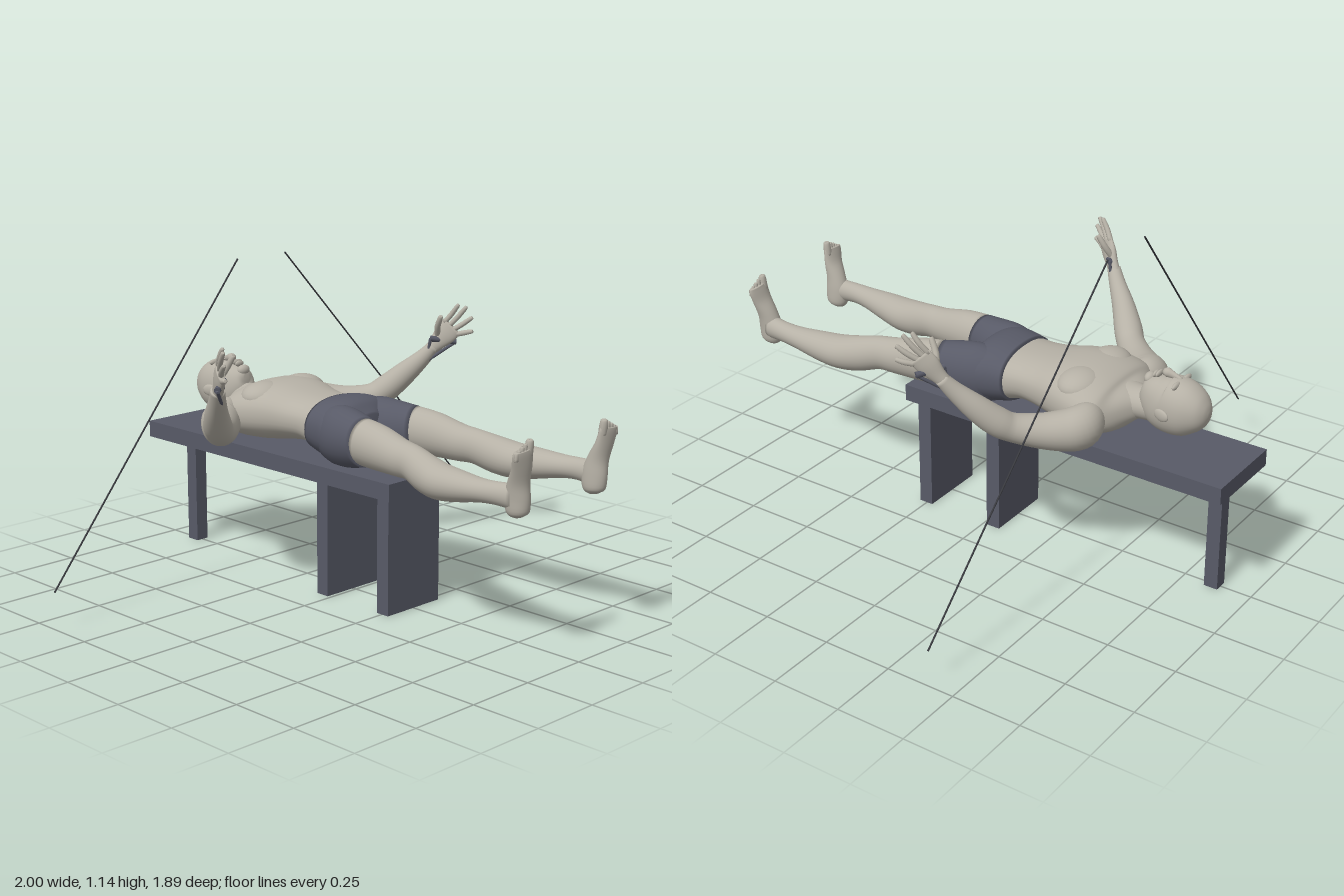
import * as THREE from 'three';

const mat = (name, color) => {
  const m = new THREE.MeshStandardMaterial({ color });
  m.name = name;
  return m;
};
const V = (x, y, z) => new THREE.Vector3(x, y, z);
const spline = (a, b, c, d, t) =>
  0.5 * (2 * b + (c - a) * t + (2 * a - 5 * b + 4 * c - d) * t * t + (3 * b - a - 3 * c + d) * t * t * t);

// Smooth skin over stations [x, y, z, radius along ref, radius across]; s = -1 mirrors in x
function loft(stations, ref, s = 1, pow = 2, seg = 28, sub = 4) {
  const rows = [], n = stations.length;
  const at = (i) => stations[Math.min(Math.max(i, 0), n - 1)];
  for (let i = 0; i < n - 1; i++)
    for (let k = 0; k < sub; k++)
      rows.push(at(i).map((_, c) => spline(at(i - 1)[c], at(i)[c], at(i + 1)[c], at(i + 2)[c], k / sub)));
  rows.push(at(n - 1));
  const centers = rows.map((r) => V(r[0] * s, r[1], r[2]));
  const refV = V(ref[0] * s, ref[1], ref[2]);
  const pos = [], idx = [];
  rows.forEach((r, i) => {
    const t = centers[Math.min(i + 1, rows.length - 1)].clone().sub(centers[Math.max(i - 1, 0)]).normalize();
    const u = refV.clone().addScaledVector(t, -refV.dot(t)).normalize();
    const v = t.clone().cross(u);
    for (let j = 0; j < seg; j++) {
      const a = (j / seg) * Math.PI * 2, c = Math.cos(a), d = Math.sin(a);
      const p = centers[i].clone()
        .addScaledVector(u, Math.sign(c) * Math.abs(c) ** (2 / pow) * Math.max(r[3], 0.001))
        .addScaledVector(v, Math.sign(d) * Math.abs(d) ** (2 / pow) * Math.max(r[4], 0.001));
      pos.push(p.x, p.y, p.z);
      if (i < rows.length - 1) {
        const A = i * seg + j, B = i * seg + ((j + 1) % seg);
        idx.push(A, B, B + seg, A, B + seg, A + seg);
      }
    }
  });
  // End caps
  const first = pos.length / 3, lastRow = (rows.length - 1) * seg;
  const end = centers[centers.length - 1];
  pos.push(centers[0].x, centers[0].y, centers[0].z, end.x, end.y, end.z);
  for (let j = 0; j < seg; j++) {
    const k = (j + 1) % seg;
    idx.push(first, k, j, first + 1, lastRow + j, lastRow + k);
  }
  const g = new THREE.BufferGeometry();
  g.setAttribute('position', new THREE.Float32BufferAttribute(pos, 3));
  g.setIndex(idx);
  g.computeVertexNormals();
  return g;
}

export function createModel() {
  const model = new THREE.Group();
  const skin = mat('skin', 0xb6b1a6);
  const slate = mat('slate', 0x585a67);
  const cableMat = mat('cable', 0x3a3b40);

  const add = (name, geo, material) => {
    const m = new THREE.Mesh(geo, material);
    m.name = name;
    model.add(m);
    return m;
  };
  const box = (name, w, h, d, x, y, z) => add(name, new THREE.BoxGeometry(w, h, d), slate).position.set(x, y, z);
  const blob = (name, c, r) => {
    const m = add(name, new THREE.SphereGeometry(1, 24, 16), skin);
    m.position.set(...c);
    m.scale.set(...r);
    return m;
  };
  const rod = (name, a, b, r, material) => {
    const d = b.clone().sub(a);
    const m = add(name, new THREE.CylinderGeometry(r, r, d.length(), 8), material);
    m.position.copy(a).addScaledVector(d, 0.5);
    m.quaternion.setFromUnitVectors(V(0, 1, 0), d.normalize());
  };
  const finger = (name, a, b, c, r, s) =>
    add(name, loft([[...a, r, r], [...b, r, r], [...c, r * 0.8, r * 0.8],
      [...c.map((q, i) => q + (q - b[i]) * 0.12), r * 0.3, r * 0.3]], [1, 0, 0.3], s, 2, 10, 3), skin);

  // Bench
  box('benchTop', 0.31, 0.06, 1.255, 0, 0.445, -0.317);
  box('benchFrontLeg', 0.25, 0.416, 0.052, 0, 0.208, 0.253);
  box('benchMiddleLeg', 0.25, 0.416, 0.052, 0, 0.208, -0.04);
  box('benchHeadLeg', 0.05, 0.416, 0.05, 0, 0.208, -0.86);

  // Trunk, lying face up with the head toward -z
  add('torso', loft([
    [0, 0.597, -0.56, 0.05, 0.04], [0, 0.592, -0.525, 0.12, 0.062], [0, 0.587, -0.49, 0.185, 0.08],
    [0, 0.59, -0.45, 0.208, 0.096], [0, 0.6, -0.38, 0.203, 0.106], [0, 0.604, -0.3, 0.182, 0.102],
    [0, 0.602, -0.22, 0.157, 0.088], [0, 0.6, -0.15, 0.146, 0.082], [0, 0.593, -0.085, 0.15, 0.092],
  ], [1, 0, 0], 1, 2.3, 40), skin);
  add('shortsHips', loft([
    [0, 0.593, -0.097, 0.154, 0.097], [0, 0.59, -0.04, 0.165, 0.109], [0, 0.587, 0.01, 0.172, 0.109],
    [0, 0.587, 0.05, 0.14, 0.095], [0, 0.59, 0.085, 0.06, 0.06],
  ], [1, 0, 0], 1, 2.3, 40), slate);

  // Neck and head
  add('neck', loft([
    [0, 0.61, -0.66, 0.055, 0.05], [0, 0.604, -0.6, 0.057, 0.053],
    [0, 0.602, -0.55, 0.062, 0.055], [0, 0.6, -0.48, 0.09, 0.06],
  ], [1, 0, 0]), skin);
  add('head', loft([
    [0, 0.63, -0.807, 0.008, 0.008], [0, 0.63, -0.8, 0.032, 0.034], [0, 0.63, -0.78, 0.057, 0.062],
    [0, 0.631, -0.74, 0.077, 0.089], [0, 0.631, -0.7, 0.083, 0.1], [0, 0.633, -0.655, 0.079, 0.1],
    [0, 0.648, -0.62, 0.068, 0.087], [0, 0.665, -0.59, 0.052, 0.062], [0, 0.675, -0.572, 0.034, 0.038],
    [0, 0.677, -0.565, 0.012, 0.014],
  ], [1, 0, 0], 1, 2.15, 36), skin);
  add('nose', loft([
    [0, 0.727, -0.7, 0.006, 0.006], [0, 0.735, -0.668, 0.01, 0.012],
    [0, 0.739, -0.645, 0.016, 0.016], [0, 0.731, -0.634, 0.008, 0.005],
  ], [1, 0, 0], 1, 2, 14), skin);
  blob('upperLip', [0, 0.727, -0.617, ], [0.023, 0.011, 0.007]);
  blob('lowerLip', [0, 0.723, -0.605], [0.02, 0.011, 0.007]);
  blob('chin', [0, 0.702, -0.583], [0.026, 0.02, 0.018]);

  for (const s of [1, -1]) {
    const side = s > 0 ? 'left' : 'right';
    blob(side + 'Brow', [s * 0.033, 0.719, -0.7], [0.028, 0.012, 0.009]);
    blob(side + 'Eye', [s * 0.031, 0.712, -0.683], [0.015, 0.01, 0.008]);
    blob(side + 'Ear', [s * 0.083, 0.625, -0.675], [0.009, 0.021, 0.031]).rotation.y = s * -0.25;
    blob(side + 'Chest', [s * 0.088, 0.655, -0.37], [0.092, 0.052, 0.078]);

    // Shorts leg, leg and foot
    add(side + 'ShortsLeg', loft([
      [0.085, 0.587, -0.04, 0.07, 0.09], [0.093, 0.583, 0.02, 0.084, 0.104], [0.105, 0.583, 0.09, 0.084, 0.1],
      [0.126, 0.588, 0.175, 0.07, 0.084],
    ], [1, 0, 0], s), slate);
    add(side + 'Leg', loft([
      [0.125, 0.59, 0.165, 0.067, 0.081], [0.135, 0.585, 0.25, 0.066, 0.077], [0.145, 0.574, 0.35, 0.058, 0.065],
      [0.154, 0.57, 0.42, 0.053, 0.06], [0.172, 0.552, 0.5, 0.06, 0.063], [0.185, 0.544, 0.57, 0.065, 0.06],
      [0.195, 0.548, 0.65, 0.057, 0.052], [0.203, 0.556, 0.75, 0.042, 0.039], [0.203, 0.56, 0.82, 0.035, 0.037],
      [0.195, 0.56, 0.885, 0.034, 0.042],
    ], [1, 0, 0], s), skin);
    add(side + 'Foot', loft([
      [0.187, 0.495, 0.895, 0.012, 0.016], [0.188, 0.512, 0.893, 0.031, 0.04], [0.19, 0.56, 0.893, 0.034, 0.045],
      [0.195, 0.61, 0.901, 0.035, 0.035], [0.202, 0.66, 0.917, 0.041, 0.023], [0.209, 0.7, 0.925, 0.045, 0.016],
      [0.211, 0.718, 0.927, 0.042, 0.012],
    ], [1, 0, 0], s), skin);
    [0.182, 0.203, 0.218, 0.232, 0.244].forEach((x, i) => {
      const tip = 0.745 - i * 0.008 - (i ? 0.002 : 0);
      finger(side + 'Toe' + (i + 1), [x, 0.695, 0.924], [x, tip - 0.02, 0.928], [x, tip, 0.93], i ? 0.0085 : 0.014, s);
    });

    // Arm reaching out and up
    add(side + 'Arm', loft([
      [0.14, 0.59, -0.45, 0.05, 0.04], [0.18, 0.583, -0.458, 0.07, 0.06], [0.222, 0.573, -0.45, 0.075, 0.071],
      [0.26, 0.568, -0.412, 0.069, 0.068], [0.31, 0.572, -0.355, 0.058, 0.06], [0.37, 0.591, -0.29, 0.048, 0.05],
      [0.41, 0.622, -0.253, 0.049, 0.05], [0.455, 0.677, -0.205, 0.043, 0.041], [0.495, 0.737, -0.153, 0.031, 0.03],
      [0.521, 0.783, -0.12, 0.023, 0.024],
    ], [0, 1, 0], s), skin);

    // Open hand
    const wide = [-0.3, 0.665, -0.68];
    add(side + 'Palm', loft([
      [0.513, 0.77, -0.13, 0.023, 0.02], [0.526, 0.795, -0.11, 0.029, 0.018],
      [0.543, 0.83, -0.085, 0.041, 0.017], [0.557, 0.86, -0.063, 0.041, 0.012],
    ], wide, s), skin);
    const tips = [[0.565, 0.938, -0.043], [0.582, 0.93, -0.02], [0.594, 0.893, -0.002], [0.593, 0.845, 0.002]];
    tips.forEach((tip, i) => {
      const off = 0.031 - i * 0.0207;
      const base = [0.553, 0.852, -0.068].map((c, k) => c + wide[k] * off);
      const mid = base.map((c, k) => (c + tip[k]) / 2 + (k ? 0 : 0.004));
      finger(side + 'Finger' + (i + 1), base, mid, tip, 0.0095, s);
    });
    finger(side + 'Thumb', [0.53, 0.818, -0.108], [0.508, 0.86, -0.09], [0.499, 0.9, -0.067], 0.011, s);

    // Stirrup handle gripped in the palm
    const a = V(s * 0.498, 0.815, -0.115), b = V(s * 0.575, 0.8, -0.06), c = V(s * 0.495, 0.73, -0.13);
    rod(side + 'HandleGrip', a, b, 0.011, slate);
    rod(side + 'HandleStrapInner', a, c, 0.006, slate);
    rod(side + 'HandleStrapOuter', b, c, 0.006, slate);

    // Slanting cable
    rod(side + 'Cable', V(s * 0.113, 1.135, -0.477), V(s * 0.998, 0.13, -0.407), 0.003, cableMat);
  }
  return model;
}
